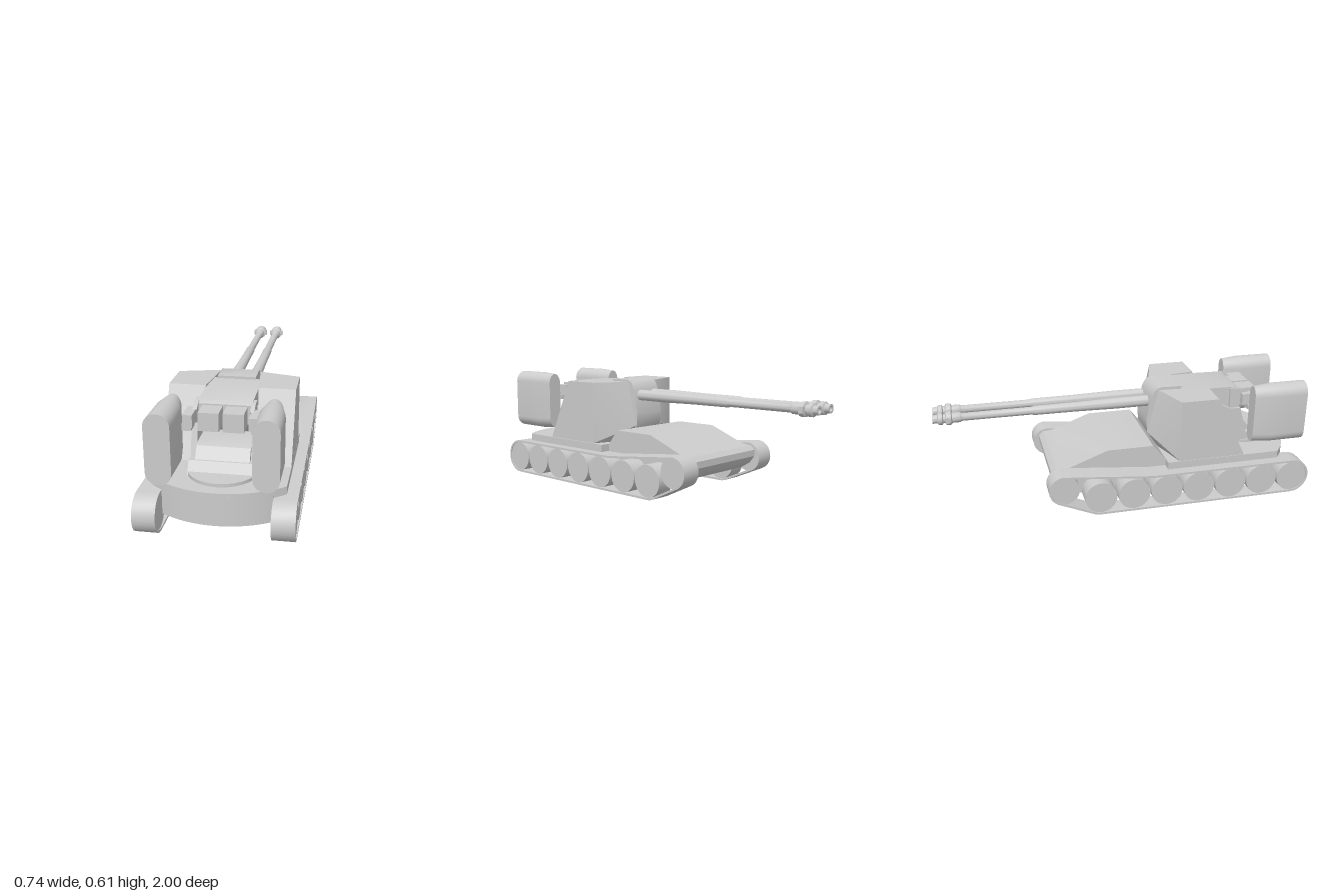
import * as THREE from 'three';
import { toCreasedNormals } from 'three/addons/utils/BufferGeometryUtils.js';
import { ConvexGeometry } from 'three/addons/geometries/ConvexGeometry.js';

const material = new THREE.MeshStandardMaterial({ color: 0xcccccc, side: THREE.DoubleSide });

function add(parent, name, geometry) {
  const mesh = new THREE.Mesh(toCreasedNormals(geometry, 0.6), material);
  mesh.name = name;
  parent.add(mesh);
  return mesh;
}

const toShape = pts => new THREE.Shape(pts.map(p => new THREE.Vector2(p[0], p[1])));

// Side profile of [z, y] points, extruded between x0 and x1
function prism(profile, x0, x1, hole) {
  const shape = toShape(profile);
  if (hole) shape.holes.push(toShape(hole));
  const g = new THREE.ExtrudeGeometry(shape, { depth: x1 - x0, bevelEnabled: false });
  return g.rotateY(-Math.PI / 2).translate(x1, 0, 0);
}

// Plan outline of [x, z] points, extruded between y0 and y1
function slab(plan, y0, y1) {
  const g = new THREE.ExtrudeGeometry(toShape(plan), { depth: y1 - y0, bevelEnabled: false });
  return g.rotateX(Math.PI / 2).translate(0, y1, 0);
}

function box(x0, x1, y0, y1, z0, z1) {
  return new THREE.BoxGeometry(x1 - x0, y1 - y0, z1 - z0)
    .translate((x0 + x1) / 2, (y0 + y1) / 2, (z0 + z1) / 2);
}

// Points round a circle between two angles
function arc(cx, cy, r, a0, a1, n = 12) {
  return Array.from({ length: n + 1 }, (_, i) => {
    const a = a0 + (a1 - a0) * i / n;
    return [cx + r * Math.cos(a), cy + r * Math.sin(a)];
  });
}

// Track outline, inset by d
function trackPath(d) {
  return [
    ...arc(0.885, 0.1, 0.097 - d, Math.PI / 2, -Math.PI / 2),
    ...arc(-0.2, 0.1, 0.097 - d, -Math.PI / 2, -2.0, 3),
    ...arc(-0.37, 0.165, 0.082 - d, -2.0, -Math.PI * 1.47),
    [0.09, 0.197 - d],
  ];
}

function buildTrack(side) {
  const g = new THREE.Group();
  g.name = side > 0 ? 'leftTrack' : 'rightTrack';
  const x0 = side > 0 ? 0.26 : -0.37;
  const shift = side > 0 ? 0 : 0.018;
  const move = pts => pts.map(([z, y]) => [z > -0.25 ? z + shift : z, y]);
  add(g, 'trackBelt', prism(move(trackPath(0)), x0, x0 + 0.11, move(trackPath(0.011))));
  const wheel = (name, r, z, y) => add(g, name,
    new THREE.CylinderGeometry(r, r, 0.1, 28).rotateZ(Math.PI / 2).translate(x0 + 0.055, y, z));
  for (let i = 0; i < 7; i++) wheel('roadWheel', 0.086, 0.885 + shift - i * 0.18, 0.1);
  wheel('driveSprocket', 0.079, -0.37, 0.165);
  return g;
}

function buildHull() {
  const g = new THREE.Group();
  g.name = 'hull';
  add(g, 'hullBody', prism([
    [0.87, 0.22], [0.87, 0.075], [-0.22, 0.075], [-0.33, 0.1], [-0.39, 0.135], [-0.42, 0.175],
    [-0.42, 0.21], [-0.395, 0.232], [-0.34, 0.237], [-0.12, 0.32], [0.13, 0.32], [0.2, 0.235], [0.87, 0.235],
  ], -0.26, 0.26));
  // Curved rear wall and the deck above the tracks
  const a = half => Math.asin(half / 0.473);
  const rear = half => arc(0, 0.477, 0.473, Math.PI / 2 - a(half), Math.PI / 2 + a(half), 16);
  add(g, 'hullRear', slab([[-0.26, 0.8], [0.26, 0.8], ...rear(0.26)], 0.075, 0.22));
  add(g, 'deck', slab([[-0.315, 0.2], [0.315, 0.2], ...rear(0.315)], 0.198, 0.238));
  return g;
}

// One side of the turret: sloped rear, wedge-shaped cheek in front
function turretCheek(s) {
  const pts = [
    [0.315, 0.24, 0.63], [0.315, 0.578, 0.47], [0.315, 0.578, 0.265], [0.315, 0.24, 0.265],
    [0.13, 0.578, 0.47], [0.16, 0.24, 0.63], [0.105, 0.575, 0.2], [0.105, 0.33, 0.14], [0.105, 0.24, 0.2],
    [0.125, 0.24, 0.47],
  ];
  return new ConvexGeometry(pts.map(p => new THREE.Vector3(p[0] * s, p[1], p[2])));
}

// Rounded upright container, tapered towards the barrels
function buildPod(s) {
  const outline = [...arc(0, 0.108, 0.06, 0, Math.PI, 16), ...arc(0, -0.108, 0.06, Math.PI, 2 * Math.PI, 16)];
  const g = new THREE.ExtrudeGeometry(toShape(outline), { depth: 0.295, steps: 3, bevelEnabled: false });
  const p = g.attributes.position;
  for (let i = 0; i < p.count; i++) {
    if (p.getZ(i) < 0.05) p.setXYZ(i, p.getX(i) * 0.66, p.getY(i) * 0.955, 0);
  }
  return g.translate(s * 0.239, 0.444, 0.69);
}

function buildGun(s) {
  const g = new THREE.Group();
  g.name = s > 0 ? 'leftGun' : 'rightGun';
  // Barrel with a stepped muzzle brake; [radius, distance along the bore]
  const profile = [[0, 0], [0.03, 0], [0.03, 0.18], [0.026, 0.4], [0.025, 0.62], [0.021, 0.64], [0.021, 1.0],
    [0.027, 1.01], [0.027, 1.05], [0.036, 1.055], [0.036, 1.08], [0.024, 1.085], [0.024, 1.095],
    [0.033, 1.1], [0.033, 1.12], [0.023, 1.125], [0.023, 1.15], [0.013, 1.15], [0.013, 1.08], [0, 1.08]];
  const lathe = new THREE.LatheGeometry(profile.map(p => new THREE.Vector2(p[0], p[1])), 20);
  add(g, 'barrel', lathe.rotateX(-Math.PI / 2).translate(s * 0.053, 0.5, 0.15));
  // Side baffles of the muzzle brake
  add(g, 'muzzleBaffle', box(s * 0.053 - 0.041, s * 0.053 + 0.041, 0.485, 0.515, -0.935, -0.91));
  add(g, 'breech', box(s * 0.058 - 0.049, s * 0.058 + 0.049, 0.455, 0.545, 0.64, 0.765));
  return g;
}

function buildTurret() {
  const g = new THREE.Group();
  g.name = 'turret';
  for (const s of [1, -1]) {
    const span = (a, b) => s > 0 ? [a, b] : [-b, -a];
    add(g, 'turretCheek', turretCheek(s));
    add(g, 'pod', buildPod(s));
    g.add(buildGun(s));
    // Arm that carries the pod
    add(g, 'podArm', prism([[0.7, 0.535], [0.66, 0.56], [0.6, 0.562], [0.6, 0.45], [0.65, 0.45]], ...span(0.125, 0.145)));
    add(g, 'podMount', box(...span(0.13, 0.176), 0.475, 0.535, 0.66, 0.78));
    add(g, 'podLink', box(...span(0.14, 0.19), 0.45, 0.475, 0.69, 0.76));
    // Upright wall beside the rear step
    add(g, 'sideWall', prism([[0.6, 0.3], [0.7, 0.3], [0.66, 0.45], [0.6, 0.45], [0.5, 0.5], [0.5, 0.3]], ...span(0.13, 0.16)));
  }
  // Mantlet between the cheeks, and the cradle behind it
  add(g, 'mantlet', prism([[0.33, 0.585], [0.21, 0.587], [0.18, 0.57], [0.16, 0.53],
    [0.135, 0.4], [0.14, 0.33], [0.2, 0.25], [0.33, 0.25]], -0.098, 0.098));
  add(g, 'cradle', prism([[0.32, 0.572], [0.63, 0.566], [0.66, 0.552], [0.66, 0.46],
    [0.6, 0.4], [0.5, 0.365], [0.32, 0.365]], -0.13, 0.13));
  add(g, 'turretCore', box(-0.13, 0.13, 0.25, 0.4, 0.2, 0.52));
  // Rear platform on its round base
  add(g, 'rearStep', prism([[0.5, 0.3], [0.74, 0.3], [0.7, 0.355], [0.66, 0.365], [0.5, 0.365]], -0.13, 0.13));
  add(g, 'rearPlatform', prism([[0.45, 0.24], [0.79, 0.24], [0.75, 0.3], [0.45, 0.3]], -0.158, 0.158));
  add(g, 'turretRing', new THREE.CylinderGeometry(0.168, 0.168, 0.035, 40).translate(0, 0.237, 0.72));
  return g;
}

export function createModel() {
  const model = new THREE.Group();
  model.name = 'twinGunTrackedVehicle';
  model.add(buildHull(), buildTrack(1), buildTrack(-1), buildTurret());
  return model;
}
